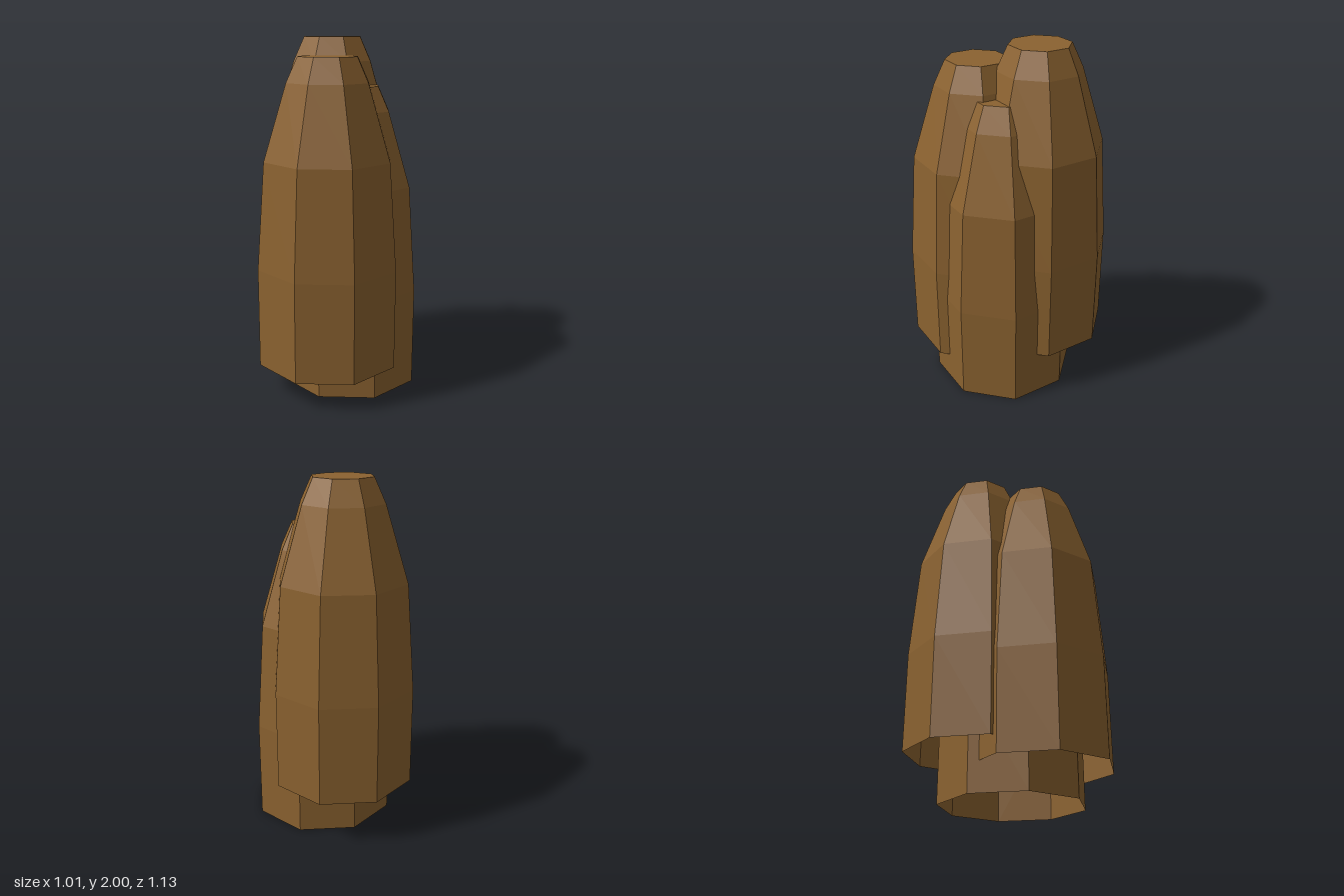
import * as THREE from 'three';

// Shared profile of one column: [radius, height], open below, flat cap on top
const PROFILE = [[0.414, 0], [0.414, 0.57], [0.369, 1.175], [0.238, 1.593], [0.173, 1.73], [0, 1.73]];

// The three overlapping columns: name and base position
const COLUMNS = [
  ['backColumn', 0.078, 0.27, -0.153],
  ['frontColumn', -0.093, 0.167, 0.151],
  ['lowColumn', 0.09, 0, 0.05],
];

export function createModel() {
  const group = new THREE.Group();
  group.name = 'columnCluster';

  const material = new THREE.MeshStandardMaterial({
    color: 0x8b6230,
    flatShading: true,
    side: THREE.DoubleSide,
  });
  // Eight-sided tapered column
  const geometry = new THREE.LatheGeometry(PROFILE.map(([r, y]) => new THREE.Vector2(r, y)), 8);

  for (const [name, x, y, z] of COLUMNS) {
    const column = new THREE.Mesh(geometry, material);
    column.name = name;
    column.position.set(x, y, z);
    column.rotation.y = -0.092;
    group.add(column);
  }
  return group;
}
